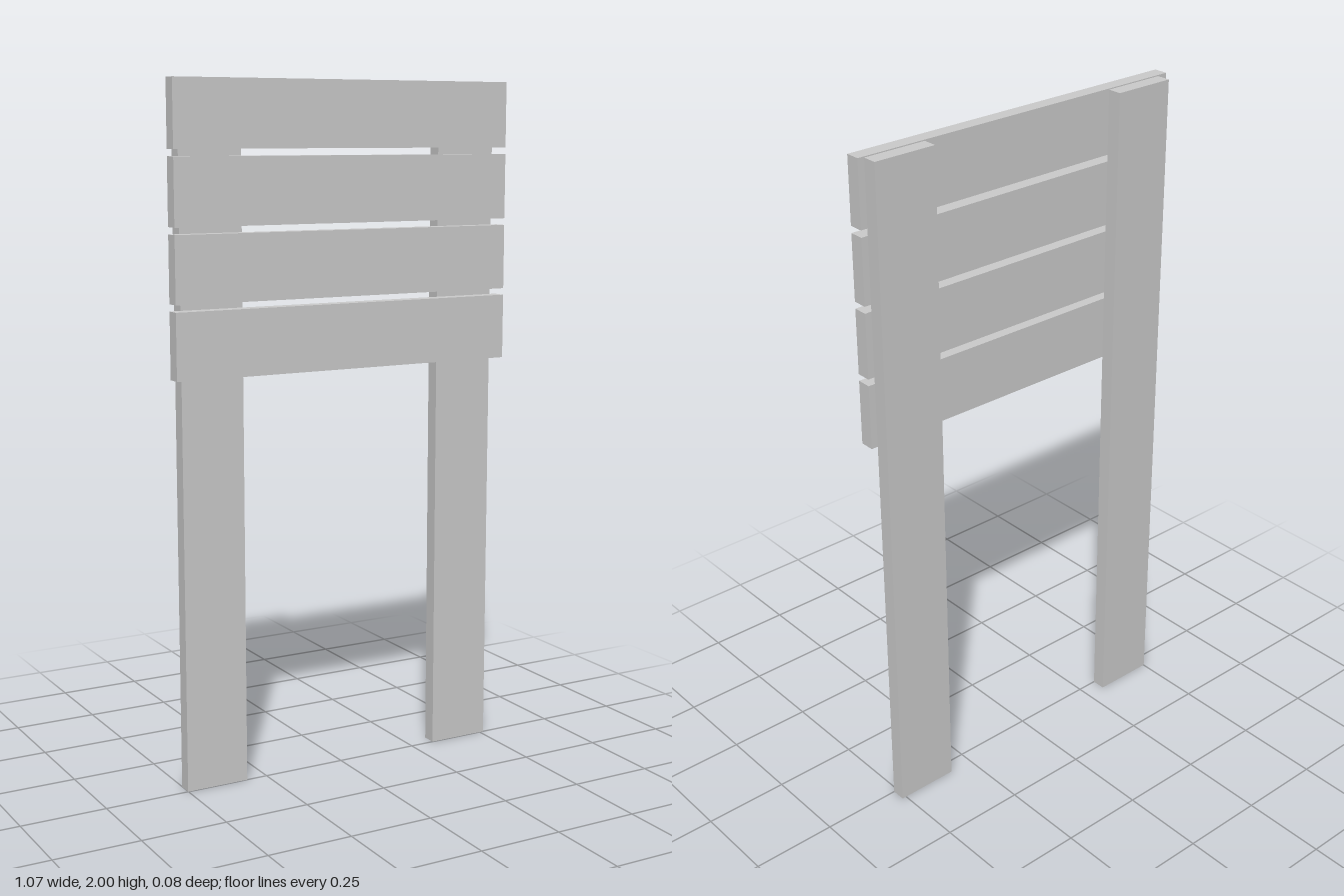
import * as THREE from 'three';

export function createModel() {
  const model = new THREE.Group();
  const material = new THREE.MeshStandardMaterial({ color: 0xcccccc, flatShading: true });

  const addBoard = (name, width, height, depth, x, y, z) => {
    const board = new THREE.Mesh(new THREE.BoxGeometry(width, height, depth), material);
    board.name = name;
    board.position.set(x, y, z);
    model.add(board);
  };

  const thickness = 0.042;

  // Two upright posts behind the slats, set slightly off centre
  const postHeight = 1.997;
  addBoard('leftPost', 0.188, postHeight, thickness, 0.419, postHeight / 2, -thickness / 2);
  addBoard('rightPost', 0.188, postHeight, thickness, -0.407, postHeight / 2, -thickness / 2);

  // Four horizontal slats with narrow gaps, counted from the top
  const slatHeight = 0.188;
  const slatPitch = 0.2075;
  for (let i = 0; i < 4; i++) {
    const y = 2 - slatHeight / 2 - i * slatPitch;
    addBoard(`slat${i + 1}`, 1.066, slatHeight, thickness, 0, y, thickness / 2);
  }

  return model;
}
